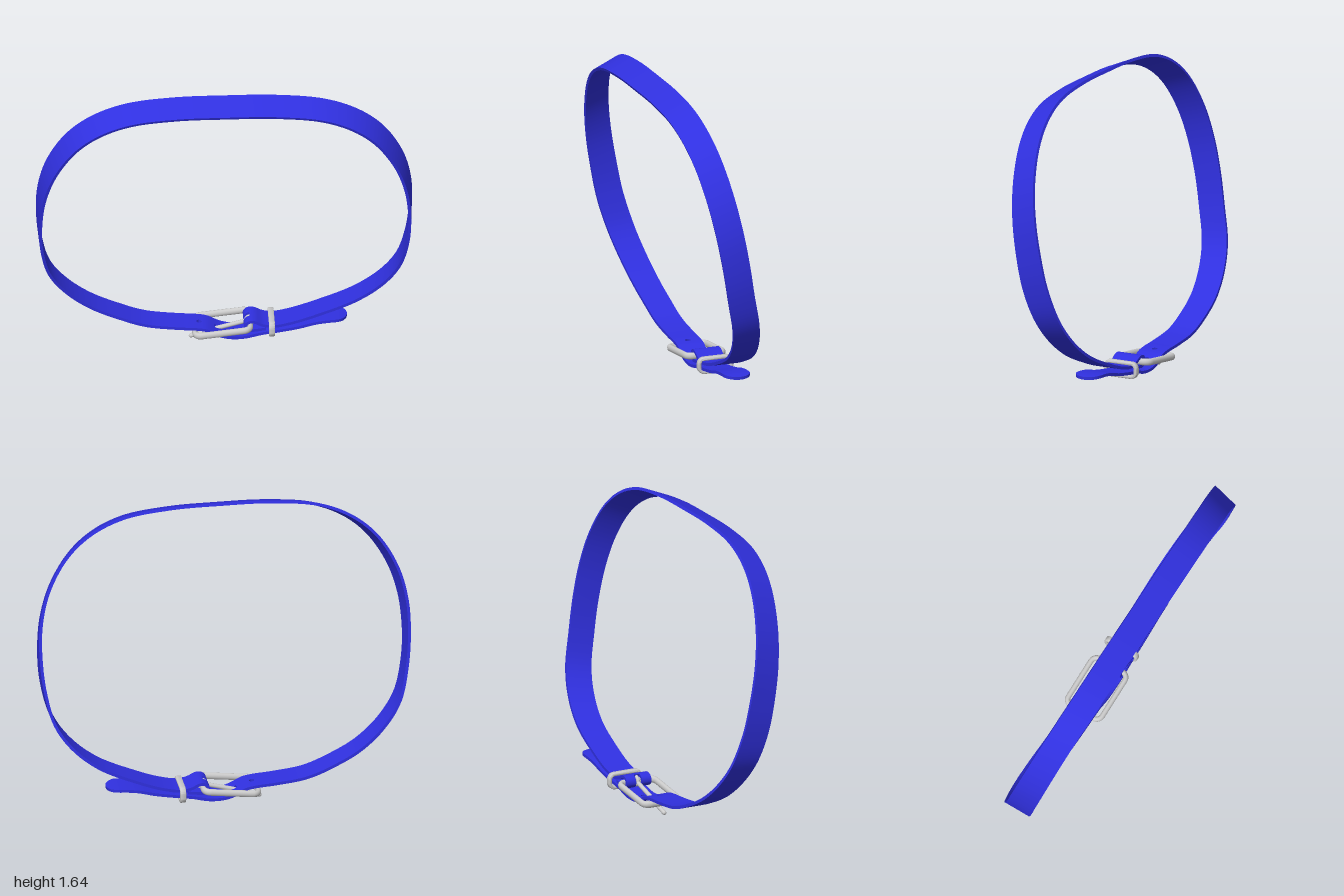
import * as THREE from 'three';
import { mergeGeometries, toCreasedNormals } from 'three/addons/utils/BufferGeometryUtils.js';

const V = (x, y, z) => new THREE.Vector3(x, y, z);
const ZB = -0.118; // depth of the strap centre at the buckle
const HALF = 0.074, THICK = 0.016;

// Strap centre line: tip, through the buckle, round the waist, fold over the bar
function strapCurve() {
  const tip = [[0.66, 0.122], [0.6, 0.125], [0.5, 0.115], [0.4, 0.09], [0.3, 0.072], [0.2, 0.057], [0.11, 0.037],
    [0.03, 0.037], [-0.03, 0.054], [-0.085, 0.083], [-0.14, 0.094], [-0.25, 0.103]].map(([x, y]) => V(x, y, ZB));
  const side = [[0.84, 0.37, -0.075], [0.93, 0.5, -0.043], [0.976, 0.67, 0], [0.991, 0.85, 0.033], [0.978, 1.04, 0.067],
    [0.925, 1.22, 0.098], [0.82, 1.39, 0.127], [0.69, 1.5, 0.147], [0.52, 1.572, 0.16], [0.27, 1.605, 0.165]];
  const left = [[0.42, 0.127, ZB], [0.56, 0.18, -0.113], [0.71, 0.258, -0.1], ...side].map(([x, y, z]) => V(-x, y, z));
  const right = [[0.36, 0.118, ZB], [0.5, 0.167, -0.113], [0.7, 0.258, -0.1], ...side].map(([x, y, z]) => V(x, y, z)).reverse();
  const fold = [[0.26, 0.1], [0.205, 0.11], [0.165, 0.129], [0.138, 0.13], [0.118, 0.115], [0.118, 0.092],
    [0.138, 0.078], [0.17, 0.08], [0.225, 0.087]].map(([x, y]) => V(x, y, ZB));
  const curve = new THREE.CatmullRomCurve3([...tip, ...left, V(0, 1.61, 0.166), ...right, ...fold], false, 'centripetal');
  curve.arcLengthDivisions = 3000;
  return curve;
}

// A flat strap built from short pieces, each bent onto the curve
function strapGeometry() {
  const curve = strapCurve(), L = curve.getLength();
  const sAt = (x, from, to) => { // arc length where the path passes x
    let best = from, gap = 9;
    for (let s = from; s <= to; s += 0.002) {
      const d = Math.abs(curve.getPointAt(s / L).x - x);
      if (d < gap) { gap = d; best = s; }
    }
    return best;
  };
  const holes = [0.06, -0.04, -0.13].map(x => sAt(x, 0.3, 1));
  const slotStart = L - 0.165, slotEnd = L - 0.05;

  // Cuts: fine at the rounded tip, round the holes and in the fold
  const cuts = [0, 0.003, 0.008, 0.015, 0.024, 0.035, 0.05, 0.07];
  const fill = (to, step) => {
    const a = cuts[cuts.length - 1], n = Math.max(1, Math.ceil((to - a) / step));
    for (let i = 1; i <= n; i++) cuts.push(a + (to - a) * i / n);
  };
  for (const h of holes) { fill(h - 0.016, 0.02); cuts.push(h + 0.016); }
  fill(L - 0.25, 0.03);
  fill(slotStart, 0.012);
  fill(slotEnd, 0.006);
  fill(L, 0.012);

  const halfWidth = s => s < 0.07 ? HALF * Math.sqrt(Math.max(0.02, 1 - (1 - s / 0.07) ** 2)) : HALF;
  const quad = (a, b, la, lb, ha, hb) => new THREE.Shape([[a, la], [b, lb], [b, hb], [a, ha]].map(p => new THREE.Vector2(...p)));
  const parts = [];
  for (let i = 0; i < cuts.length - 1; i++) {
    const a = cuts[i], b = cuts[i + 1], m = (a + b) / 2, ha = halfWidth(a), hb = halfWidth(b);
    let shapes;
    if (m > slotStart && m < slotEnd) { // slot for the tongue
      shapes = [quad(a, b, 0.018, 0.018, HALF, HALF), quad(a, b, -HALF, -HALF, -0.018, -0.018)];
    } else {
      shapes = [quad(a, b, -ha, -hb, ha, hb)];
      const h = holes.find(x => Math.abs(x - m) < 0.002);
      if (h !== undefined) shapes[0].holes.push(new THREE.Path().absellipse(h, 0, 0.013, 0.015, 0, Math.PI * 2, true));
    }
    for (const s of shapes) parts.push(new THREE.ExtrudeGeometry(s, { depth: THICK, bevelEnabled: false, curveSegments: 10 }));
  }
  const geo = mergeGeometries(parts);

  const pos = geo.attributes.position, p = V(0, 0, 0);
  for (let i = 0; i < pos.count; i++) {
    p.fromBufferAttribute(pos, i);
    const u = THREE.MathUtils.clamp(p.x / L, 0, 1);
    const c = curve.getPointAt(u), t = curve.getTangentAt(u);
    // the strap leans outward towards the top of the loop
    const k = 0.42 * THREE.MathUtils.smoothstep(c.y, 0.6, 1.6);
    const w = V(0, 0, 1).addScaledVector(V(-t.y, t.x, 0).normalize(), -k);
    w.addScaledVector(t, -w.dot(t)).normalize();
    const n = w.clone().cross(t);
    c.addScaledVector(w, p.y).addScaledVector(n, THICK / 2 - p.z);
    pos.setXYZ(i, c.x, c.y, c.z);
  }
  return toCreasedNormals(geo, 0.7);
}

// Rounded rectangle centred on the origin
function roundRect(Path, hx, hy, r) {
  const s = new Path();
  s.absarc(hx - r, hy - r, r, 0, Math.PI / 2);
  s.absarc(-hx + r, hy - r, r, Math.PI / 2, Math.PI);
  s.absarc(-hx + r, -hy + r, r, Math.PI, Math.PI * 1.5);
  s.absarc(hx - r, -hy + r, r, Math.PI * 1.5, Math.PI * 2);
  s.closePath();
  return s;
}

export function createModel() {
  const group = new THREE.Group();
  const blue = new THREE.MeshStandardMaterial({ color: 0x3030e0 });
  const grey = new THREE.MeshStandardMaterial({ color: 0xcccccc });
  const add = (name, geo, mat, parent = group) => {
    const mesh = new THREE.Mesh(geo, mat);
    mesh.name = name;
    parent.add(mesh);
    return mesh;
  };

  add('strap', strapGeometry(), blue);

  // Buckle frame: closed rounded loop with an oval section, tilted
  const outline = roundRect(THREE.Path, 0.149, 0.106, 0.035).getSpacedPoints(64).slice(0, -1);
  const loop = new THREE.CatmullRomCurve3(outline.map(q => V(q.x, 0, q.y)), true);
  const frame = add('buckleFrame', new THREE.TubeGeometry(loop, 96, 0.0145, 12, true).scale(1, 1.3, 1), grey);
  frame.position.set(-0.006, 0.084, -0.12);
  frame.rotation.z = 0.115;

  // Tongue: eye round the bar, and a pin through the strap
  const tongue = new THREE.Group();
  tongue.name = 'buckleTongue';
  group.add(tongue);
  const pin = new THREE.CatmullRomCurve3([V(0.125, 0.098, ZB), V(0.05, 0.078, ZB), V(-0.04, 0.054, ZB),
    V(-0.1, 0.034, ZB), V(-0.172, 0.014, ZB)]);
  add('tonguePin', new THREE.TubeGeometry(pin, 32, 0.012, 12), grey, tongue);
  add('tongueTip', new THREE.SphereGeometry(0.012, 12, 8), grey, tongue).position.set(-0.172, 0.014, ZB);
  add('tongueEye', new THREE.TorusGeometry(0.022, 0.01, 10, 24), grey, tongue).position.set(0.143, 0.103, ZB);

  // Keeper: flat ring holding both layers of strap
  const ring = roundRect(THREE.Shape, 0.096, 0.041, 0.032);
  ring.holes.push(roundRect(THREE.Path, 0.088, 0.033, 0.024));
  const keeperGeo = new THREE.ExtrudeGeometry(ring, {
    depth: 0.022, bevelEnabled: true, bevelSize: 0.005, bevelThickness: 0.005, bevelSegments: 3, curveSegments: 10,
  });
  keeperGeo.translate(0, 0, -0.011).rotateY(Math.PI / 2);
  add('keeper', toCreasedNormals(keeperGeo, 0.8), grey).position.set(0.257, 0.081, -0.126);

  return group;
}
